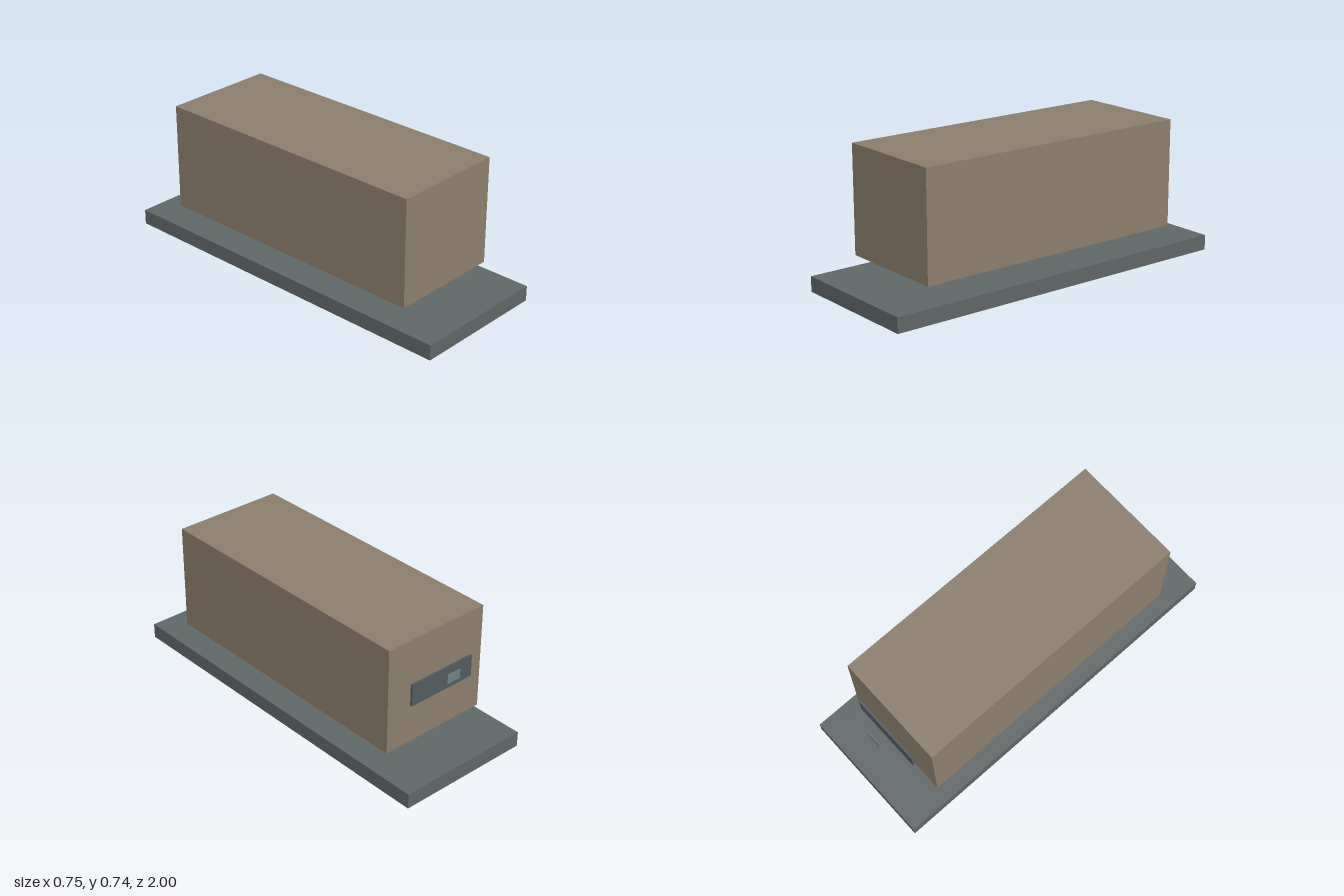
import * as THREE from 'three';

export function createModel() {
  const model = new THREE.Group();

  // Adds a named box: size and centre are [x, y, z]
  const addBox = (name, color, size, centre) => {
    const material = new THREE.MeshStandardMaterial({ color });
    const mesh = new THREE.Mesh(new THREE.BoxGeometry(...size), material);
    mesh.name = name;
    mesh.position.set(...centre);
    model.add(mesh);
  };

  // Wide slab on the ground
  addBox('base', 0x5f6666, [0.746, 0.081, 2], [0, 0.0405, 0]);
  // Long body floating above the slab
  addBox('body', 0x8b7d6b, [0.614, 0.574, 1.56], [0, 0.449, 0]);
  // Plate standing off the back end
  addBox('backPanel', 0x525a5e, [0.393, 0.118, 0.012], [0, 0.465, -0.821]);
  // Small thin tag behind the plate
  addBox('backTag', 0x6b8080, [0.082, 0.051, 0.004], [0, 0.523, -0.898]);

  return model;
}
